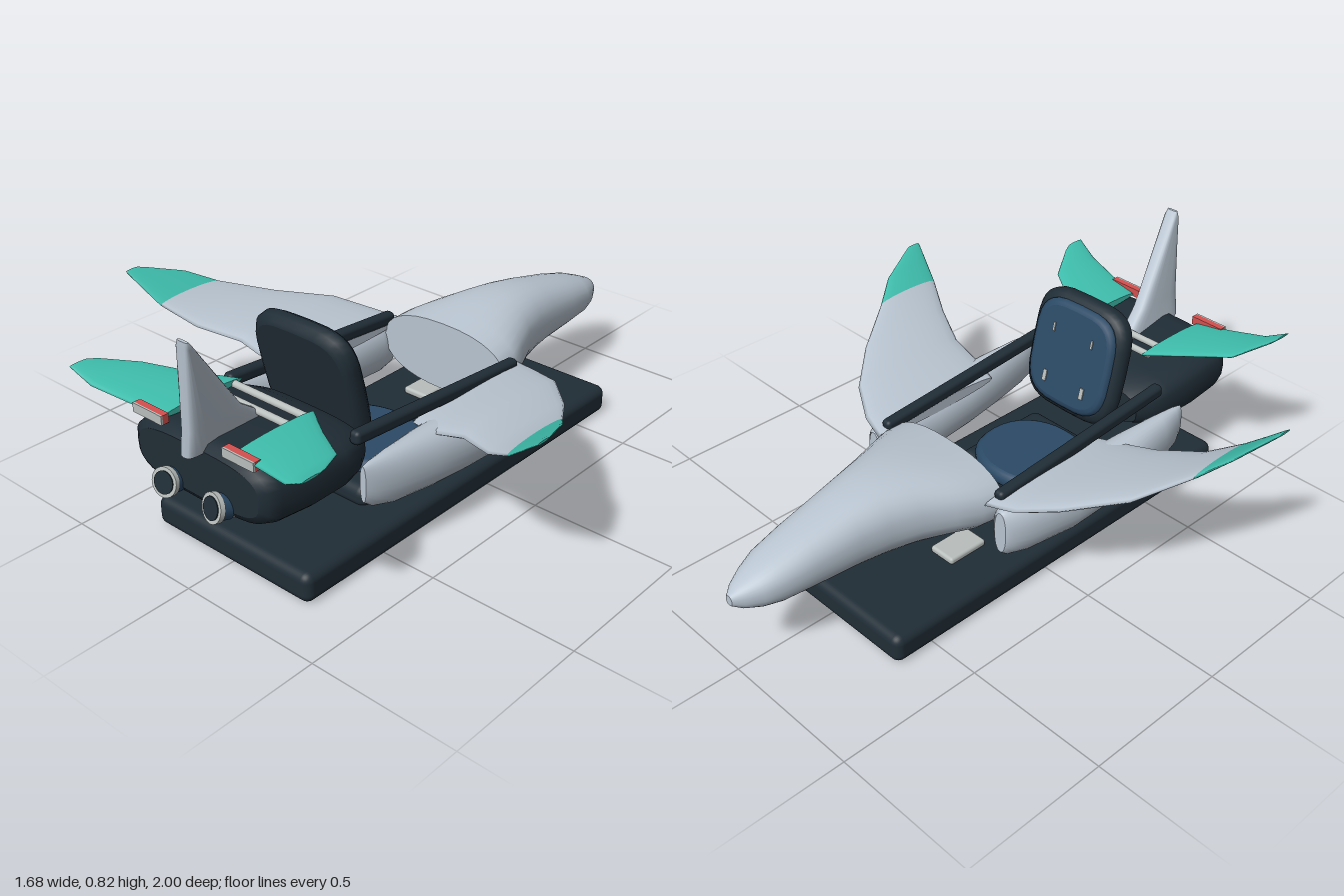
import * as THREE from 'three';
import { RoundedBoxGeometry } from 'three/addons/geometries/RoundedBoxGeometry.js';

const paint = (name, color) => Object.assign(new THREE.MeshStandardMaterial({ color }), { name });

// Superellipse outline as [u, v] pairs in the range -1..1
function outline(exp, n = 32) {
  const f = t => Math.sign(t) * Math.pow(Math.abs(t), 2 / exp);
  return Array.from({ length: n }, (_, i) => {
    const a = (i / n) * Math.PI * 2;
    return [f(Math.cos(a)), f(Math.sin(a))];
  });
}

// Skin a list of rings (arrays of [x, y, z]) and close both ends
function loft(rings) {
  const n = rings[0].length, pos = rings.flat(2), idx = [];
  for (let r = 0; r < rings.length - 1; r++)
    for (let i = 0; i < n; i++) {
      const a = r * n + i, b = r * n + (i + 1) % n;
      idx.push(a, b, b + n, a, b + n, a + n);
    }
  [rings[0], rings[rings.length - 1]].forEach((ring, end) => {
    const s = pos.length / 3;
    pos.push(...ring.flat());
    for (let i = 1; i < n - 1; i++) idx.push(s, end ? s + i : s + i + 1, end ? s + i + 1 : s + i);
  });
  // turn the skin outwards whatever the ring direction
  const p = i => new THREE.Vector3().fromArray(pos, i * 3);
  let volume = 0;
  for (let i = 0; i < idx.length; i += 3) volume += p(idx[i]).dot(p(idx[i + 1]).cross(p(idx[i + 2])));
  if (volume < 0) idx.reverse();
  const g = new THREE.BufferGeometry();
  g.setAttribute('position', new THREE.Float32BufferAttribute(pos, 3));
  g.setIndex(idx);
  g.computeVertexNormals();
  return g;
}

// Body along z: stations [z, centreX, bottomY, topY, halfWidth]
const bodyLoft = (stations, exp) => loft(stations.map(([z, cx, lo, hi, w]) =>
  outline(exp).map(([u, v]) => [cx + w * u, (lo + hi) / 2 + (hi - lo) / 2 * v, z])));

// Wing along x: stations [x, leadingZ, trailingZ, y, halfThickness]
const wingLoft = (stations, side) => loft(stations.map(([x, lead, trail, y, t]) =>
  outline(2, 20).map(([u, v]) => [side * x, y + t * v, (lead + trail) / 2 + (trail - lead) / 2 * u])));

// Flat cushion with softened rims, thickness along z
const padLoft = (w, h, d, exp) => bodyLoft(
  [[-0.5, 0.88], [-0.42, 0.94], [-0.2, 1], [0.2, 1], [0.42, 0.94], [0.5, 0.88]]
    .map(([t, s]) => [t * d, 0, -h / 2 * s, h / 2 * s, w / 2 * s]), exp);

export function createModel() {
  const hull = paint('pale hull', 0xb9c5d1);
  const dark = paint('dark trim', 0x202d36);
  const blue = paint('blue upholstery', 0x2b4a66);
  const teal = paint('teal tips', 0x3fbfae);
  const silver = paint('silver metal', 0xb9bfbd);
  const red = paint('red lights', 0xd4504f);

  const model = new THREE.Group();
  model.name = 'jetRide';
  const add = (name, geometry, material, x = 0, y = 0, z = 0, parent = model) => {
    const mesh = new THREE.Mesh(geometry, material);
    mesh.name = name;
    mesh.position.set(x, y, z);
    parent.add(mesh);
    return mesh;
  };
  // Cylinder between two points
  const rod = (name, from, to, r0, r1, material) => {
    const a = new THREE.Vector3(...from), b = new THREE.Vector3(...to), d = b.clone().sub(a);
    const m = add(name, new THREE.CylinderGeometry(r1, r0, d.length(), 24), material);
    m.position.copy(a).add(b).multiplyScalar(0.5);
    m.quaternion.setFromUnitVectors(new THREE.Vector3(0, 1, 0), d.normalize());
    return m;
  };

  // Platform
  add('base', new RoundedBoxGeometry(0.65, 0.1, 1.49, 4, 0.03), dark, 0, 0.05, 0.095);

  // Nose
  add('nose', bodyLoft([
    [-1, 0, 0.255, 0.29, 0.015], [-0.97, 0, 0.236, 0.312, 0.042], [-0.92, 0, 0.22, 0.335, 0.07],
    [-0.86, 0, 0.212, 0.36, 0.092], [-0.75, 0, 0.206, 0.392, 0.107], [-0.6, 0, 0.2, 0.427, 0.124],
    [-0.5, 0, 0.195, 0.444, 0.142], [-0.4, 0, 0.19, 0.45, 0.17], [-0.3, 0, 0.185, 0.444, 0.213],
    [-0.22, 0, 0.18, 0.434, 0.248], [-0.14, 0, 0.18, 0.425, 0.258]], 2.35), hull);

  // Rear body
  add('rearBody', bodyLoft([
    [0.5, 0, 0.27, 0.4, 0.24], [0.55, 0, 0.25, 0.425, 0.27], [0.62, 0, 0.24, 0.44, 0.287],
    [0.75, 0, 0.238, 0.46, 0.292], [0.88, 0, 0.25, 0.47, 0.288], [0.92, 0, 0.262, 0.466, 0.275],
    [0.935, 0, 0.285, 0.445, 0.25]], 3.2), dark);
  for (const z of [0.645, 0.71]) rod('tailBar', [-0.16, 0.472, z], [0.16, 0.472, z], 0.012, 0.012, silver);

  // Fin leaning to one side: [y, frontZ, rearZ, centreX, halfThickness]
  add('tailFin', loft([
    [0.44, 0.66, 0.985, 0.012, 0.03], [0.53, 0.78, 0.988, 0.03, 0.03],
    [0.8, 0.975, 1, 0.06, 0.027], [0.82, 0.99, 1, 0.063, 0.02],
  ].map(([y, f, b, cx, w]) => outline(4, 24).map(([u, v]) =>
    [cx + w * u + (v - 1) * (b - f) * 0.04, y, (f + b) / 2 + (b - f) / 2 * v]))), hull);

  // Seat
  add('seatPedestal', new RoundedBoxGeometry(0.41, 0.08, 0.38, 4, 0.035), dark, 0, 0.12, 0.285);
  add('seatCushion', padLoft(0.4, 0.36, 0.06, 2.2), blue, 0, 0.16, 0.25).rotation.x = Math.PI / 2;
  const back = new THREE.Group();
  back.name = 'seatBack';
  back.position.set(0, 0.477, 0.467);
  back.rotation.x = 0.23;
  model.add(back);
  add('backShell', padLoft(0.4, 0.42, 0.07, 4), dark, 0, 0, 0, back);
  add('backPad', padLoft(0.35, 0.37, 0.04, 3.6), blue, 0, 0, -0.034, back);
  for (const x of [-0.085, 0.085]) {
    add('upperSlot', new THREE.BoxGeometry(0.008, 0.03, 0.006), silver, x, 0.08, -0.055, back);
    add('lowerSlot', new THREE.BoxGeometry(0.016, 0.04, 0.006), silver, x, -0.1, -0.055, back);
  }

  for (const s of [1, -1]) {
    // Side pods
    add('sidePod', bodyLoft([
      [-0.2, 0.3, 0.175, 0.325, 0.025], [-0.185, 0.3, 0.163, 0.335, 0.045], [-0.12, 0.305, 0.152, 0.343, 0.065],
      [0.05, 0.32, 0.156, 0.35, 0.084], [0.2, 0.325, 0.167, 0.358, 0.082], [0.35, 0.33, 0.178, 0.368, 0.068],
      [0.5, 0.333, 0.195, 0.372, 0.045], [0.58, 0.333, 0.22, 0.37, 0.027], [0.612, 0.333, 0.245, 0.365, 0.012],
    ].map(([z, cx, ...r]) => [z, cx * s, ...r]), 2.2), hull);

    // Main wings
    add('wing', wingLoft([
      [0.25, -0.22, 0.3, 0.34, 0.022], [0.35, -0.19, 0.328, 0.352, 0.026], [0.47, -0.12, 0.335, 0.387, 0.026],
      [0.61, 0.03, 0.4, 0.42, 0.022], [0.717, 0.195, 0.453, 0.482, 0.016]], s), hull);
    add('wingTip', wingLoft([
      [0.717, 0.195, 0.453, 0.482, 0.016], [0.78, 0.285, 0.472, 0.532, 0.011], [0.828, 0.405, 0.486, 0.571, 0.007],
      [0.84, 0.435, 0.488, 0.58, 0.004]], s), teal);

    // Tail wings
    add('tailWing', wingLoft([
      [0.15, 0.615, 0.92, 0.478, 0.013], [0.27, 0.7, 0.945, 0.492, 0.014], [0.4, 0.78, 0.975, 0.512, 0.012],
      [0.465, 0.89, 0.985, 0.546, 0.007], [0.477, 0.92, 0.987, 0.553, 0.004]], s), teal);

    // Tail lights
    add('tailLight', new THREE.BoxGeometry(0.125, 0.03, 0.022), red, s * 0.188, 0.485, 0.928);
    add('tailLightPlate', new THREE.BoxGeometry(0.125, 0.03, 0.006), silver, s * 0.188, 0.485, 0.942);

    // Cockpit rails
    const rail = add('cockpitRail', new RoundedBoxGeometry(0.04, 0.045, 0.76, 3, 0.015), dark, s * 0.265, 0.385, 0.2);
    rail.rotation.x = -0.08;

    // Thrusters
    const front = new THREE.Vector3(s * 0.145, 0.228, 0.66), tail = new THREE.Vector3(s * 0.1, 0.308, 0.975);
    const at = t => front.clone().lerp(tail, t).toArray();
    rod('thruster', at(0), at(0.84), 0.026, 0.037, silver);
    rod('thrusterBand', at(0.84), at(0.95), 0.04, 0.04, blue);
    rod('thrusterRing', at(0.95), at(1), 0.046, 0.046, silver);
    rod('thrusterNozzle', at(0.99), at(1.01), 0.035, 0.035, dark);

    // Foot pedals
    add('pedal', new RoundedBoxGeometry(0.1, 0.025, 0.15, 3, 0.01), silver, s * 0.13, 0.11, -0.22);
  }
  return model;
}
